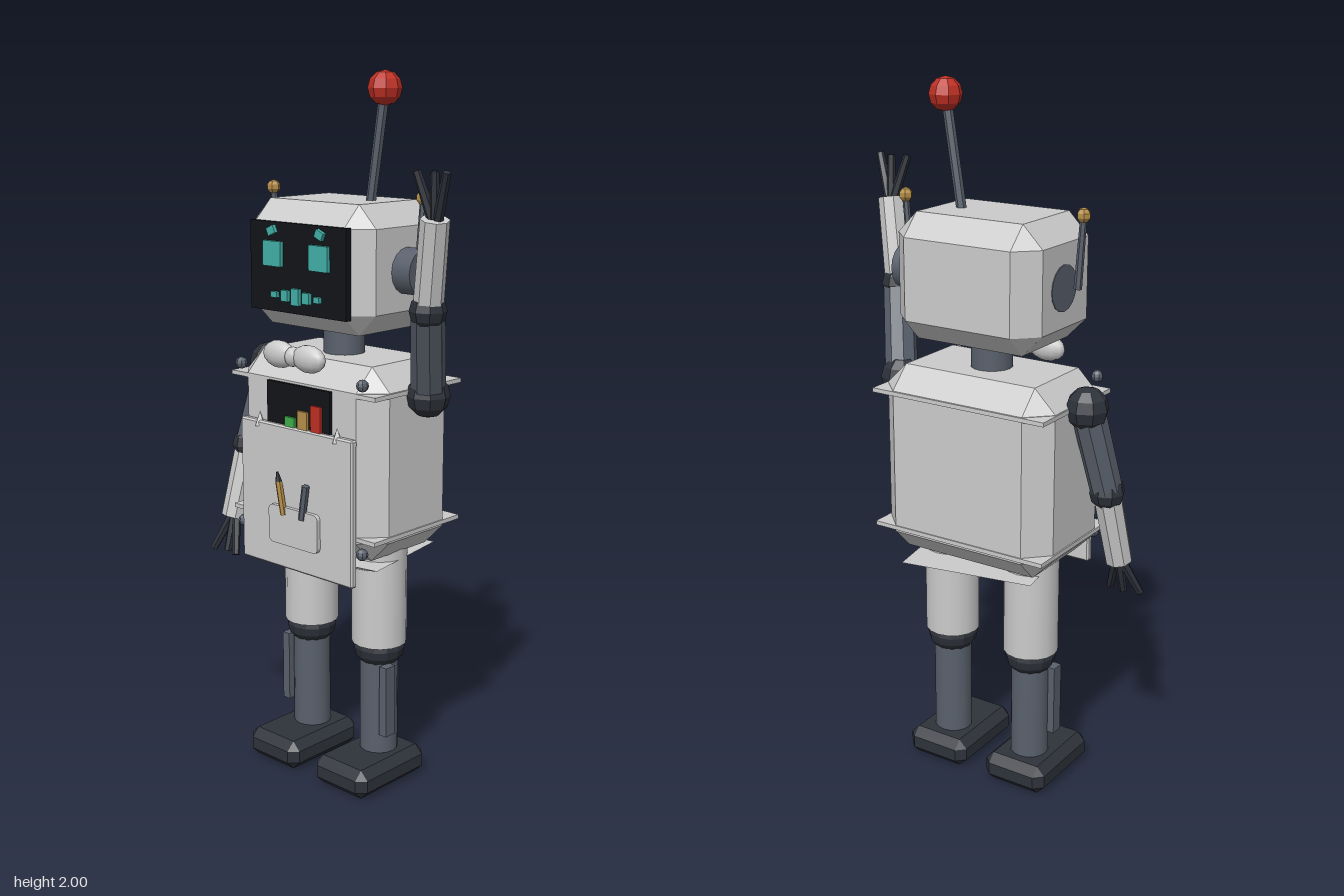
import * as THREE from 'three';
import { ConvexGeometry } from 'three/addons/geometries/ConvexGeometry.js';

const V = (x, y, z) => new THREE.Vector3(x, y, z);
const mat = (color, flatShading = true) => new THREE.MeshStandardMaterial({ color, flatShading });
const GREY = mat(0xcccccc), SMOOTH = mat(0xcccccc, false), STEEL = mat(0x5a616d), PIPE = mat(0x5a616d, false);
const DARK = mat(0x2e323a), BLACK = mat(0x111417), TEAL = mat(0x40b0a8);
const RED = mat(0xc03024), GOLD = mat(0xb8904a), GREEN = mat(0x3fae49);
const CX = -0.04, CZ = -0.016; // body axis

export function createModel() {
  const model = new THREE.Group();

  const add = (name, geo, material, x = 0, y = 0, z = 0, parent = model) => {
    const m = new THREE.Mesh(geo, material);
    m.name = name;
    m.position.set(x, y, z);
    parent.add(m);
    return m;
  };
  const box = (name, material, x, y, z, w, h, d, parent) =>
    add(name, new THREE.BoxGeometry(w, h, d), material, x, y, z, parent);
  const ball = (name, material, p, r, ws = 8, hs = 6, parent = model) =>
    add(name, new THREE.SphereGeometry(r, ws, hs), material, p.x, p.y, p.z, parent);
  // Tapered cylinder running from a to b
  const rod = (name, material, a, b, ra, rb = ra, sides = 8, parent = model) => {
    const geo = new THREE.CylinderGeometry(rb, ra, a.distanceTo(b), sides);
    const m = add(name, geo, material, (a.x + b.x) / 2, (a.y + b.y) / 2, (a.z + b.z) / 2, parent);
    m.quaternion.setFromUnitVectors(V(0, 1, 0), b.clone().sub(a).normalize());
    return m;
  };
  // Box with every edge and corner cut by c
  const chamferBox = (name, material, x, y, z, w, h, d, c, parent) => {
    const pts = [];
    for (const i of [-1, 1]) for (const j of [-1, 1]) for (const k of [-1, 1])
      for (let axis = 0; axis < 3; axis++) {
        const cut = [c, c, c];
        cut[axis] = 0;
        pts.push(V(i * (w / 2 - cut[0]), j * (h / 2 - cut[1]), k * (d / 2 - cut[2])));
      }
    return add(name, new ConvexGeometry(pts), material, x, y, z, parent);
  };

  // Torso with two square flanges and corner screws
  chamferBox('torso', GREY, CX, 0.967, CZ, 0.54, 0.54, 0.352, 0.063);
  for (const y of [1.167, 0.772]) box('flange', GREY, CX, y, -0.018, 0.548, 0.012, 0.355);
  for (const x of [-0.27, 0.193]) for (const y of [1.2, 0.737])
    ball('screw', STEEL, V(x, y, 0.163), 0.017, 8, 6);

  // Shallow inverted pyramid between torso and legs
  const hip = new THREE.CylinderGeometry(Math.SQRT2, 0.02, 0.075, 4).rotateY(Math.PI / 4).scale(0.195, 1, 0.157);
  add('hipCone', hip, GREY, -0.025, 0.637, CZ).rotation.y = 0.175;

  // Chest display with level bars
  box('chestDisplay', BLACK, CX, 1.09, 0.16, 0.24, 0.155, 0.02);
  [[-0.065, 1.077, GREEN], [-0.017, 1.1, GOLD], [0.034, 1.122, RED]].forEach(([x, top, m]) =>
    box('levelBar', m, x, (top + 1.03) / 2, 0.172, 0.037, top - 1.03, 0.012));

  // Apron plate, clips, pocket and tools
  chamferBox('apron', GREY, -0.042, 0.844, 0.171, 0.43, 0.413, 0.022, 0.005);
  for (const x of [-0.188, 0.11])
    add('apronClip', new THREE.ConeGeometry(0.018, 0.04, 4), GREY, x, 1.055, 0.172);
  const s = new THREE.Shape();
  const pw = 0.095, ph = 0.055, pr = 0.016;
  s.absarc(pw - pr, ph - pr, pr, 0, Math.PI / 2);
  s.absarc(pr - pw, ph - pr, pr, Math.PI / 2, Math.PI);
  s.absarc(pr - pw, pr - ph, pr, Math.PI, Math.PI * 1.5);
  s.absarc(pw - pr, pr - ph, pr, Math.PI * 1.5, Math.PI * 2);
  const pocket = new THREE.ExtrudeGeometry(s, { depth: 0.014, bevelEnabled: false, curveSegments: 4 });
  add('pocket', pocket, GREY, -0.04, 0.767, 0.18);
  rod('pencil', GOLD, V(-0.077, 0.8, 0.192), V(-0.088, 0.895, 0.199), 0.01, 0.01, 6);
  rod('pencilTip', DARK, V(-0.088, 0.895, 0.199), V(-0.091, 0.922, 0.201), 0.01, 0.003, 6);
  rod('screwdriver', STEEL, V(-0.006, 0.8, 0.192), V(0.014, 0.9, 0.196), 0.011, 0.011, 6);

  // Neck and bow tie
  rod('neck', PIPE, V(CX, 1.2, CZ), V(CX, 1.34, CZ), 0.058, 0.058, 16);
  for (const side of [-1, 1])
    ball('bowLobe', SMOOTH, V(CX + side * 0.056, 1.25, 0.182), 1, 12, 8).scale.set(0.058, 0.038, 0.027);
  ball('bowKnot', SMOOTH, V(CX, 1.25, 0.186), 1, 8, 6).scale.set(0.022, 0.028, 0.025);

  // Head and face screen
  chamferBox('head', GREY, CX, 1.488, -0.012, 0.45, 0.345, 0.35, 0.06);
  box('faceScreen', BLACK, CX, 1.484, 0.159, 0.358, 0.242, 0.018);
  for (const side of [-1, 1]) {
    box('eye', TEAL, CX + side * 0.087, 1.52, 0.172, 0.068, 0.068, 0.014);
    box('brow', TEAL, CX + side * 0.09, 1.582, 0.172, 0.028, 0.022, 0.014).rotation.z = -side * 0.4;
  }
  [0.016, 0.03, 0.045, 0.03, 0.016].forEach((h, i) =>
    box('mouthBar', TEAL, CX + (i - 2) * 0.04, 1.41, 0.172, 0.018 + h * 0.25, h, 0.014));

  // Ears with small aerials
  rod('leftEar', PIPE, V(0.15, 1.483, -0.02), V(0.246, 1.483, -0.02), 0.063, 0.063, 16);
  rod('rightEar', PIPE, V(-0.24, 1.483, -0.02), V(-0.267, 1.483, -0.02), 0.063, 0.063, 16);
  for (const [x0, x1] of [[0.226, 0.24], [-0.305, -0.318]]) {
    rod('earAerial', STEEL, V(x0, 1.485, -0.018), V(x1, 1.675, -0.018), 0.011, 0.009, 6);
    ball('earAerialTip', GOLD, V(x1, 1.678, -0.018), 0.02, 6, 5);
  }

  // Main antenna
  rod('antennaRod', STEEL, V(0.055, 1.64, CZ), V(0.105, 1.95, CZ), 0.014, 0.014, 6);
  ball('antennaBall', RED, V(0.106, 1.954, CZ), 0.046, 8, 6);

  // Arms: shoulder, elbow, wrist and the middle fingertip
  const arm = (name, shoulder, elbow, wrist, tip) => {
    const g = new THREE.Group();
    g.name = name;
    model.add(g);
    ball('shoulder', DARK, shoulder, 0.06, 8, 6, g);
    rod('upperArm', STEEL, shoulder, elbow, 0.047, 0.045, 8, g);
    ball('elbow', DARK, elbow, 0.05, 8, 6, g);
    rod('forearm', GREY, elbow, wrist, 0.04, 0.038, 8, g);
    for (const spread of [-0.048, 0, 0.048]) {
      const end = tip.clone().add(V(spread, 0, spread ? 0 : -0.012));
      rod('finger', DARK, wrist.clone().add(V(spread * 0.2, 0, 0)), end, 0.014, 0.011, 6, g);
    }
  };
  arm('rightArm', V(-0.342, 1.168, -0.018), V(-0.378, 0.922, 0.038), V(-0.396, 0.705, 0.088), V(-0.397, 0.603, 0.128));
  arm('leftArm', V(0.268, 1.157, -0.015), V(0.336, 1.402, 0.072), V(0.383, 1.64, 0.106), V(0.388, 1.758, 0.128));

  // Legs
  for (const side of [-1, 1]) {
    const x = -0.039 + side * 0.135;
    const g = new THREE.Group();
    g.name = side > 0 ? 'leftLeg' : 'rightLeg';
    model.add(g);
    rod('thigh', SMOOTH, V(x, 0.415, CZ), V(x, 0.72, CZ), 0.079, 0.079, 16, g);
    ball('knee', DARK, V(x, 0.4, CZ), 0.074, 12, 8, g).scale.y = 0.85;
    rod('shin', PIPE, V(x, 0.06, CZ), V(x, 0.37, CZ), 0.055, 0.055, 16, g);
    box('shinPiston', STEEL, x + side * 0.06, 0.255, 0.016, 0.026, 0.21, 0.038, g);
    chamferBox('foot', DARK, x, 0.043, 0.023, 0.198, 0.086, 0.285, 0.025, g);
  }
  return model;
}
